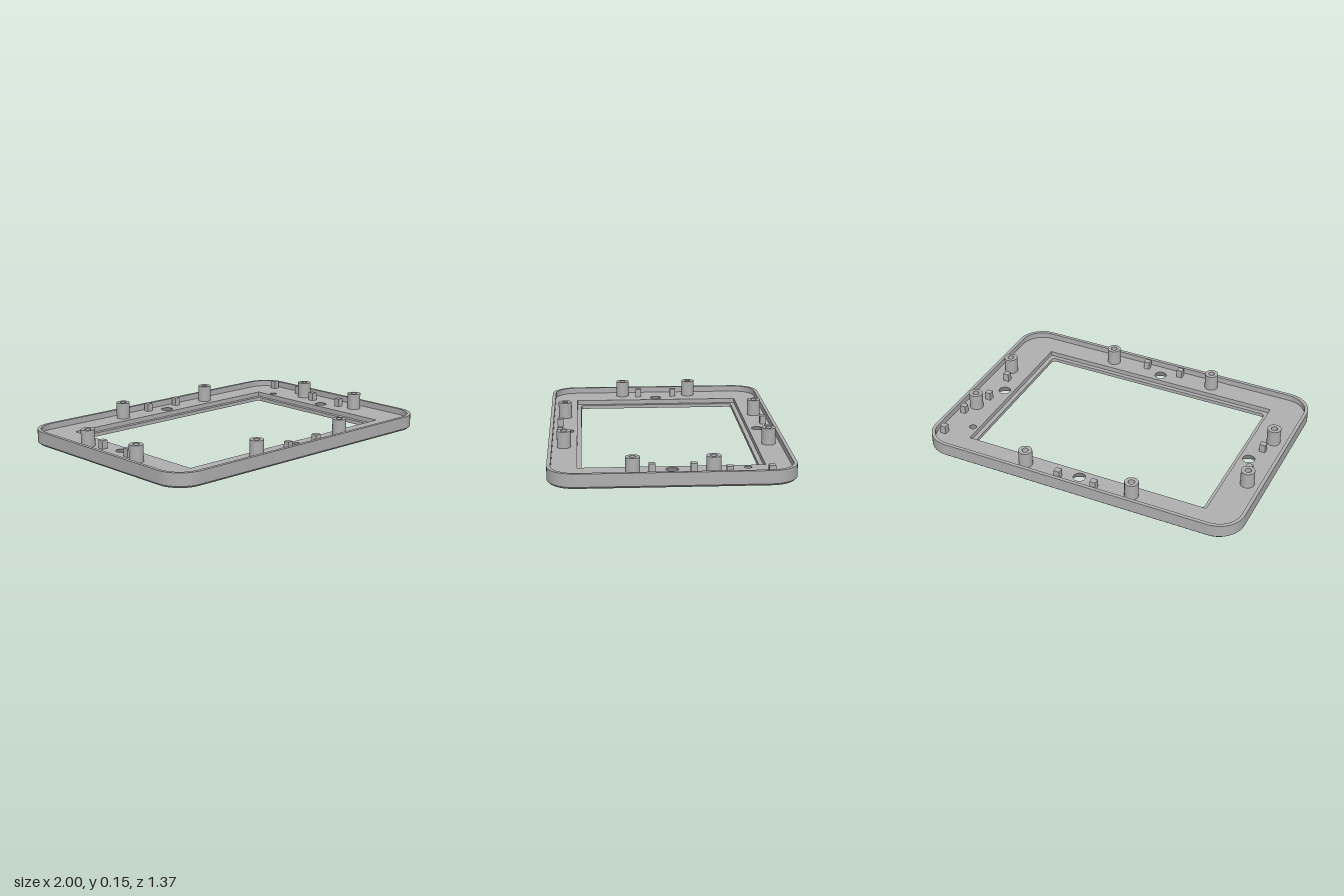
import * as THREE from 'three';

const FLOOR = 0.05, LEDGE = 0.022, RIM = 0.086, BOSS = 0.148, PEG = 0.1;

// Closed loops of plan points (x, -z), counterclockwise from above
function rectLoop(hx, hz, r, n = 10) {
  const pts = [];
  [[1, 1], [-1, 1], [-1, -1], [1, -1]].forEach(([sx, sy], q) => {
    for (let i = 0; i <= (r ? n : 0); i++) {
      const a = (q + i / n) * Math.PI / 2;
      pts.push(new THREE.Vector2(sx * (hx - r) + r * Math.cos(a), sy * (hz - r) + r * Math.sin(a)));
    }
  });
  return pts;
}

function circleLoop(x, z, r, n = 32) {
  return Array.from({ length: n }, (_, i) => {
    const a = i / n * Math.PI * 2;
    return new THREE.Vector2(x + r * Math.cos(a), -z + r * Math.sin(a));
  });
}

// Wall between two loops: faces outward when the first is lower, inward when it is higher
function wall(a, ya, b, yb, sharp = false) {
  const n = a.length, pos = [], idx = [];
  a.forEach(p => pos.push(p.x, ya, -p.y));
  b.forEach(p => pos.push(p.x, yb, -p.y));
  for (let i = 0; i < n; i++) {
    const j = (i + 1) % n;
    idx.push(i, j, n + j, i, n + j, n + i);
  }
  let g = new THREE.BufferGeometry();
  g.setAttribute('position', new THREE.Float32BufferAttribute(pos, 3));
  g.setIndex(idx);
  if (sharp) g = g.toNonIndexed();
  g.computeVertexNormals();
  return g;
}

// Flat face with holes at height y
function face(outline, holes, y, down = false) {
  const shape = new THREE.Shape(outline);
  holes.forEach(h => shape.holes.push(new THREE.Path(h)));
  const g = new THREE.ShapeGeometry(shape).rotateX(-Math.PI / 2).translate(0, y, 0);
  if (down) {
    g.index.array.reverse();
    g.computeVertexNormals();
  }
  return g;
}

export function createModel() {
  const model = new THREE.Group();
  const grey = new THREE.MeshStandardMaterial({ color: 0xb0b0b0 });
  grey.name = 'grey plastic';
  const add = (name, geometry, x = 0, y = 0, z = 0) => {
    const mesh = new THREE.Mesh(geometry, grey);
    mesh.name = name;
    mesh.position.set(x, y, z);
    model.add(mesh);
  };

  const outer = rectLoop(1, 0.687, 0.16);
  const bottom = rectLoop(0.988, 0.675, 0.148);
  const inner = rectLoop(0.979, 0.666, 0.139);
  const recess = rectLoop(0.767, 0.522, 0);
  const windowLoop = rectLoop(0.74, 0.496, 0.022, 6);

  // Countersunk holes: x, z, radius at the floor, radius underneath
  const holes = [
    [0, -0.578, 0.036, 0.065], [0, 0.578, 0.036, 0.065],
    [-0.823, 0, 0.036, 0.065], [0.823, 0, 0.036, 0.065],
    [0.806, -0.42, 0.021, 0.043],
  ].map(([x, z, top, low]) => [circleLoop(x, z, top), circleLoop(x, z, low)]);

  // Frame shell
  add('underside', face(bottom, [windowLoop, ...holes.map(h => h[1])], 0, true));
  add('bottomChamfer', wall(bottom, 0, outer, 0.012));
  add('outerWall', wall(outer, 0.012, outer, RIM));
  add('rimTop', face(outer, [inner], RIM));
  add('innerWall', wall(inner, RIM, inner, FLOOR));
  add('floor', face(inner, [recess, ...holes.map(h => h[0])], FLOOR));
  add('recessWall', wall(recess, FLOOR, recess, LEDGE, true));
  add('windowLedge', face(recess, [windowLoop], LEDGE));
  add('windowWall', wall(windowLoop, LEDGE, windowLoop, 0));
  holes.forEach(([top, low]) => add('countersunkHole', wall(top, FLOOR, low, 0)));

  // Hollow screw bosses
  const bossWall = wall(circleLoop(0, 0, 0.041), FLOOR, circleLoop(0, 0, 0.041), BOSS);
  const bossTop = face(circleLoop(0, 0, 0.041), [circleLoop(0, 0, 0.019)], BOSS);
  const bossBore = wall(circleLoop(0, 0, 0.019), BOSS, circleLoop(0, 0, 0.019), FLOOR);
  for (const sx of [-1, 1]) for (const sz of [-1, 1]) {
    for (const [x, z] of [[0.341, 0.598], [0.897, 0.22]]) {
      add('bossWall', bossWall, sx * x, 0, sz * z);
      add('bossTop', bossTop, sx * x, 0, sz * z);
      add('bossBore', bossBore, sx * x, 0, sz * z);
    }
  }

  // Square locating pegs
  const peg = new THREE.BoxGeometry(0.036, PEG - FLOOR, 0.036);
  const pegs = [[0.935, -0.535], [0.935, -0.305]];
  for (const t of [-0.116, 0.114]) {
    pegs.push([t, -0.626], [t, 0.624], [-0.87, t], [0.868, t]);
  }
  pegs.forEach(([x, z]) => add('locatingPeg', peg, x, (PEG + FLOOR) / 2, z));

  return model;
}
